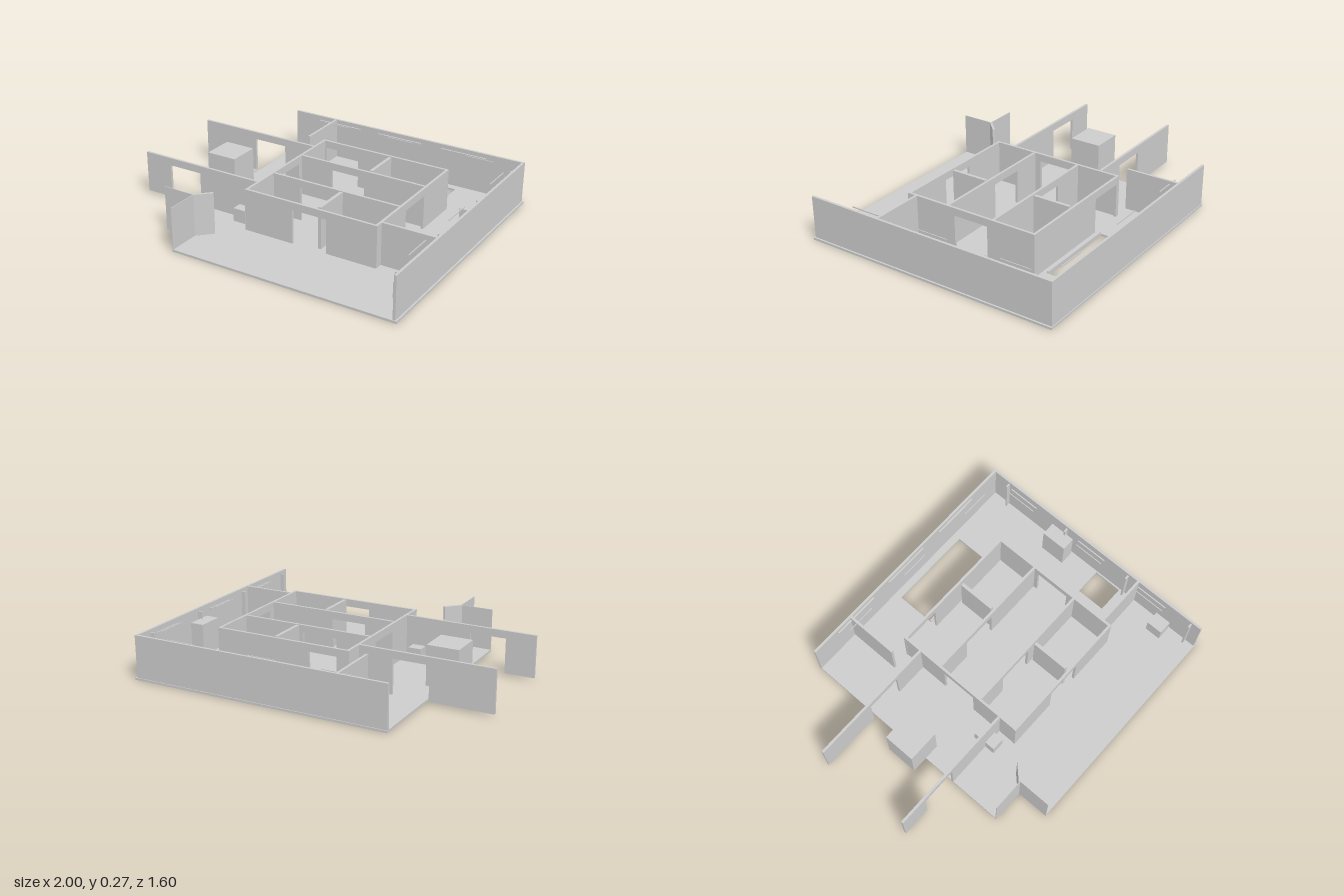
import * as THREE from 'three';

export function createModel() {
  const model = new THREE.Group();
  const plaster = new THREE.MeshStandardMaterial({ color: 0xcccccc });
  plaster.name = 'plaster grey';
  const BASE = 0.013, TOP = 0.268, DOOR = 0.222, T = 0.015;

  // box given by its min and max corners
  function block(name, x0, x1, y0, y1, z0, z1, parent = model) {
    const mesh = new THREE.Mesh(new THREE.BoxGeometry(x1 - x0, y1 - y0, z1 - z0), plaster);
    mesh.position.set((x0 + x1) / 2, (y0 + y1) / 2, (z0 + z1) / 2);
    mesh.name = name;
    parent.add(mesh);
  }

  // straight wall along 'x' or 'z' at a fixed offset, with an optional doorway [start, end]
  function wall(name, axis, at, from, to, door, t = T) {
    const group = new THREE.Group();
    group.name = name;
    const piece = (part, a, b, y0) => axis === 'x'
      ? block(part, a, b, y0, TOP, at - t / 2, at + t / 2, group)
      : block(part, at - t / 2, at + t / 2, y0, TOP, a, b, group);
    if (door) {
      piece('wallBeforeDoor', from, door[0], BASE);
      piece('doorHeader', door[0], door[1], DOOR);
      piece('wallAfterDoor', door[1], to, BASE);
    } else piece('solidWall', from, to, BASE);
    model.add(group);
  }

  // floor slab with notched corner and two openings (shape y is -z)
  const outline = [[-0.6, -0.6], [-0.4, -0.6], [-0.4, -0.8], [1, -0.8], [1, 0.8], [-0.6, 0.8]];
  const slab = new THREE.Shape(outline.map(([x, y]) => new THREE.Vector2(x, y)));
  for (const [x0, x1, z0, z1] of [[0.05, 0.58, -0.735, -0.495], [0.8, 0.965, 0.05, 0.23]]) {
    slab.holes.push(new THREE.Path([[x0, -z0], [x1, -z0], [x1, -z1], [x0, -z1]]
      .map(([x, y]) => new THREE.Vector2(x, y))));
  }
  const floor = new THREE.Mesh(
    new THREE.ExtrudeGeometry(slab, { depth: BASE, bevelEnabled: false }).rotateX(-Math.PI / 2), plaster);
  floor.name = 'floor';
  model.add(floor);

  // outer walls
  wall('backWall', 'x', -0.788, -0.6, 0.99);
  wall('rightWall', 'z', 0.982, -0.78, 0.795);

  // central block of three rooms
  wall('roomWallBack', 'x', -0.455, -0.197, 0.655, [-0.17, 0.055]);
  wall('roomWallMidBack', 'x', -0.187, -0.18, 0.64, [0.03, 0.25]);
  wall('roomWallMidFront', 'x', 0.115, -0.18, 0.64, [0.005, 0.225]);
  wall('roomWallFront', 'x', 0.382, -0.197, 0.655, [0.12, 0.34]);
  wall('roomWallLeftSide', 'z', -0.188, -0.4475, 0.3745, [-0.15, 0.07]);
  wall('roomWallRightSide', 'z', 0.647, -0.4475, 0.3745, [-0.155, 0.065]);
  wall('backRoomPartition', 'z', 0.28, -0.435, -0.205, null, 0.02);
  wall('frontRoomPartition', 'z', 0.28, 0.13, 0.36, null, 0.02);

  // side wings, short partitions and entrance corner
  wall('wingWallBack', 'x', -0.338, -1, -0.196, [-0.62, -0.4]);
  wall('wingWallFront', 'x', 0.265, -1, -0.196, [-0.82, -0.6]);
  wall('backHallPartition', 'z', -0.303, -0.78, -0.455);
  wall('rightHallPartition', 'x', 0.332, 0.655, 0.975);
  wall('notchWallSide', 'x', 0.598, -0.6, -0.4, null, 0.004);
  wall('notchWallFront', 'z', -0.398, 0.6, 0.8, null, 0.004);
  const angled = new THREE.Mesh(new THREE.BoxGeometry(0.115, TOP - BASE, T), plaster);
  angled.name = 'angledEntranceWall';
  angled.position.set(-0.36, (TOP + BASE) / 2, 0.558);
  angled.rotation.y = Math.PI / 4;
  model.add(angled);

  // cabinets and crates
  block('largeCabinet', -0.7, -0.505, BASE, 0.255, -0.135, 0.06);
  block('lowCrate', -0.32, -0.24, BASE, 0.095, 0.19, 0.335);
  block('tallCabinet', 0.875, 0.96, BASE, 0.205, -0.31, -0.15);
  block('lowCabinet', 0.875, 0.96, BASE, 0.105, 0.51, 0.61);

  // kerb beside the large floor opening
  block('openingKerb', 0.05, 0.58, 0, 0.025, -0.5, -0.49);

  // rails on the back wall, with a short bar hung before each
  for (const [x, bar] of [[-0.42, -0.36], [0.01, 0.1], [0.45, 0.64]]) {
    block('backWallRail', x, x + 0.3, 0.232, 0.242, -0.781, -0.771);
    block('backHangingBar', bar, bar + 0.18, 0.246, 0.252, -0.737, -0.732);
  }
  // rails and bars on the right wall
  for (const z of [-0.64, -0.11, 0.35]) {
    block('rightWallRail', 0.955, 0.962, 0.232, 0.242, z, z + 0.2);
    block('rightHangingBar', 0.924, 0.929, 0.246, 0.252, z + 0.01, z + 0.2);
  }
  // slim posts along the right wall
  for (const z of [-0.67, -0.21, 0.26, 0.73]) {
    block('rightWallPost', 0.947, 0.976, BASE, 0.25, z - 0.005, z + 0.005);
  }
  return model;
}
